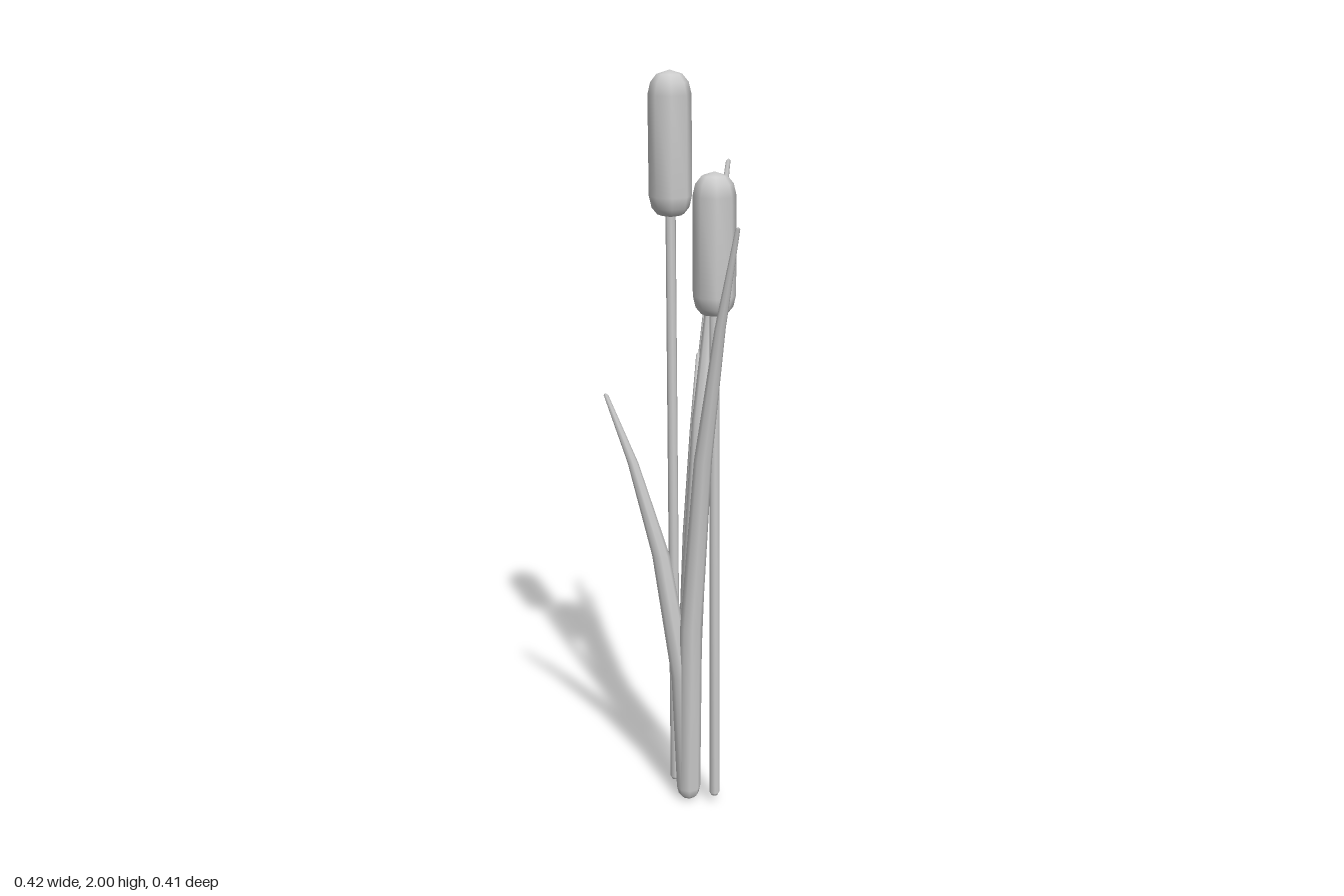
import * as THREE from 'three';
import { mergeVertices } from 'three/addons/utils/BufferGeometryUtils.js';

const SIDES = 8;

// Smooth turned form from [radius, height] pairs, bottom to top, optionally bent
function turned(profile, bend) {
  let geo = new THREE.LatheGeometry(profile.map(([r, y]) => new THREE.Vector2(r, y)), SIDES);
  if (bend) {
    const p = geo.attributes.position;
    for (let i = 0; i < p.count; i++) {
      const [dx, dz] = bend(p.getY(i));
      p.setX(i, p.getX(i) + dx);
      p.setZ(i, p.getZ(i) + dz);
    }
  }
  geo.deleteAttribute('uv');
  geo.deleteAttribute('normal');
  geo = mergeVertices(geo, 1e-5);
  geo.computeVertexNormals();
  return geo;
}

export function createModel() {
  const group = new THREE.Group();
  const grey = new THREE.MeshStandardMaterial({ color: 0xcccccc });
  grey.name = 'light grey';

  const add = (name, geo, x, y, z) => {
    const mesh = new THREE.Mesh(geo, grey);
    mesh.name = name;
    mesh.position.set(x, y, z);
    group.add(mesh);
  };

  // Two stalks, each with a rounded seed head
  const headProfile = [
    [0, 0], [0.034, 0.008], [0.048, 0.025], [0.055, 0.055],
    [0.055, 0.305], [0.048, 0.335], [0.032, 0.355], [0, 0.365],
  ];
  [[-0.087, 1.635], [0.056, 1.398]].forEach(([x, y], i) => {
    add('seedHead' + (i + 1), turned(headProfile), x, y, 0.07);
    const top = y + 0.03;
    const stem = [[0, 0.025], [0.01, 0.027], [0.014, 0.035], [0.013, top], [0, top]];
    add('stem' + (i + 1), turned(stem), x, 0, 0.07);
  });

  // Leaves share one foot and lean outward towards their tips
  const foot = new THREE.Vector3(-0.015, 0.005, 0.098);
  const tips = [
    [0.205, 1.655, 0.165], [-0.205, 1.18, 0.202], [-0.183, 1.43, -0.203],
    [-0.062, 1.765, -0.135], [-0.126, 1.245, -0.087], [-0.012, 1.275, -0.035],
  ];
  tips.forEach(([x, y, z], i) => {
    const h = y - foot.y;
    const profile = [
      [0, 0], [0.018, 0.004], [0.028, 0.014], [0.033, 0.035],
      [0.03, 0.32 * h], [0.0235, 0.62 * h], [0.014, 0.84 * h],
      [0.006, h - 0.006], [0, h],
    ];
    const bend = (py) => {
      const s = Math.pow(Math.max(py, 0) / h, 2.3);
      return [(x - foot.x) * s, (z - foot.z) * s];
    };
    add('leaf' + (i + 1), turned(profile, bend), foot.x, foot.y, foot.z);
  });

  return group;
}
